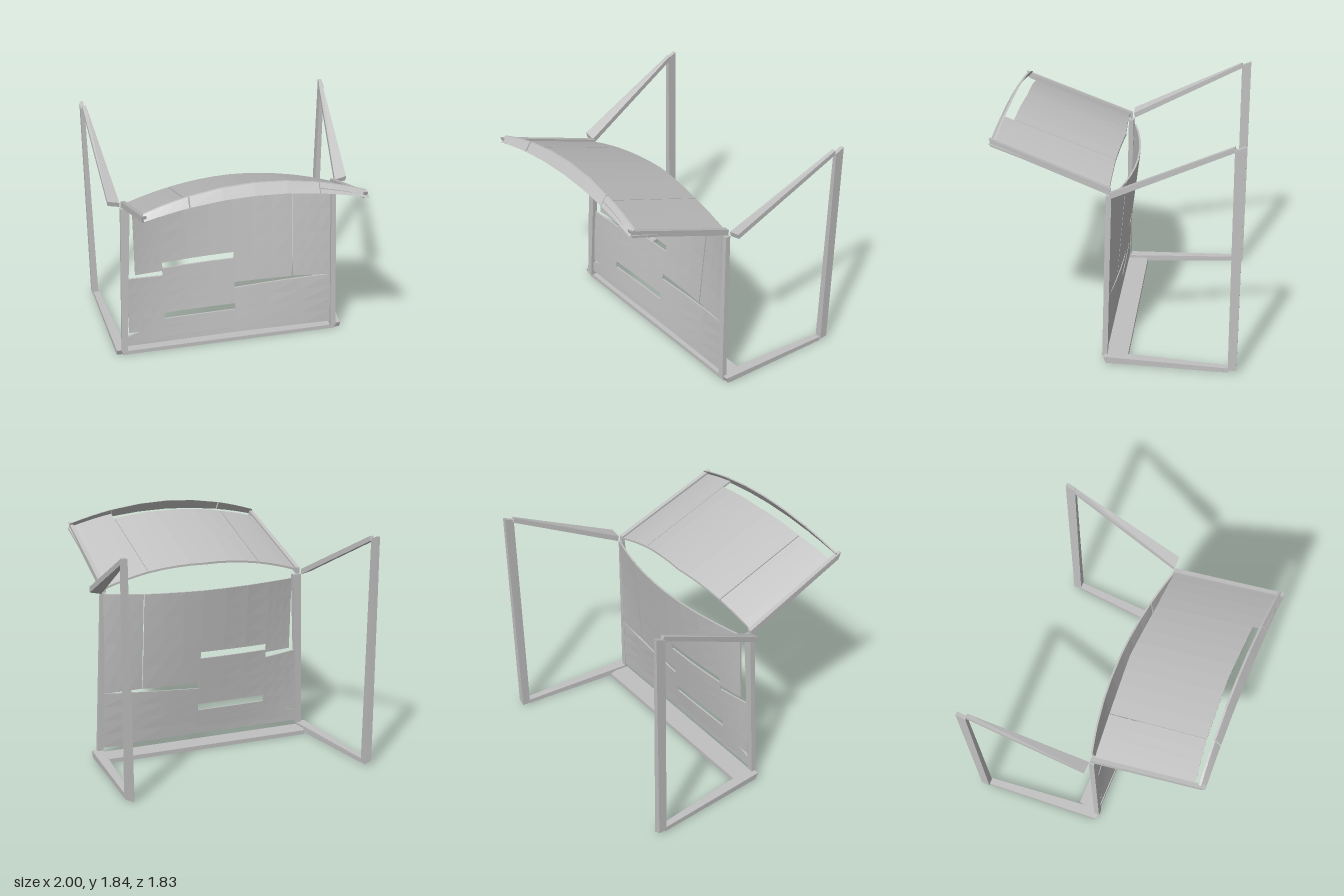
import * as THREE from 'three';

const grey = new THREE.MeshStandardMaterial({ color: 0xc0c0c0 });
grey.name = 'light grey';

const lerp = THREE.MathUtils.lerp;
const bow = (x, half) => Math.max(0, 1 - (x / half) ** 2);

// Bends a box by a rule and gives it flat facets
function bentBox(name, nx, ny, rule) {
  const box = new THREE.BoxGeometry(1, 1, 1, nx, ny, 1);
  const pos = box.attributes.position;
  for (let i = 0; i < pos.count; i++) {
    pos.setXYZ(i, ...rule(pos.getX(i) + 0.5, pos.getY(i) + 0.5, pos.getZ(i)));
  }
  const geo = box.toNonIndexed();
  geo.computeVertexNormals();
  const mesh = new THREE.Mesh(geo, grey);
  mesh.name = name;
  return mesh;
}

// Tapered bar between two ends, each given as centre c and edge vectors u, v
function bar(name, a, b) {
  const V = (p) => new THREE.Vector3(...p);
  const turn = V(a.u).cross(V(a.v)).dot(V(b.c).sub(V(a.c))) < 0 ? -1 : 1;
  return bentBox(name, 1, 1, (s, t, w) => {
    const e = w < 0 ? a : b;
    return V(e.c).addScaledVector(V(e.u), (s - 0.5) * turn)
      .addScaledVector(V(e.v), t - 0.5).toArray();
  });
}

// Upright panel: hollow at the top, flat at the bottom
const panelZ = (x, y) => 0.04 + (1.3 - y) * 0.025
  - 0.125 * bow(x, 0.84) * THREE.MathUtils.clamp((y - 0.1) / 1.2, 0, 1);

function uprightPanel([x0, x1, lowL, lowR, highL, highR]) {
  return bentBox('uprightPanel', 3, 4, (s, t, w) => {
    const x = lerp(x0, x1, s);
    const y = lerp(lerp(lowL, lowR, s), lerp(highL, highR, s), t);
    return [x, y, panelZ(x, y) + w * 0.014];
  });
}

// Canopy panel: arched across, rising towards the front
function canopyPanel([x0, x1, backL, backR, frontL, frontR]) {
  return bentBox('canopyPanel', 4, 1, (s, t, w) => {
    const x = lerp(x0, x1, s);
    const z = lerp(lerp(frontL, frontR, s), lerp(backL, backR, s), t);
    const y = 1.33 + 0.375 * z + 0.15 * bow(x, 0.82);
    return [x, y + w * 0.016, z];
  });
}

// Raised front lip of the canopy
function lip([x0, x1]) {
  return bentBox('canopyLip', 4, 1, (s, t, w) => {
    const x = lerp(x0, x1, s), k = bow(x, 0.82);
    const y = lerp(1.665 + 0.105 * k, 1.705 + 0.14 * k, t);
    const z = lerp(0.905 - 0.02 * k, 0.87 - 0.035 * k, t);
    return [x, y, z + w * 0.016];
  });
}

export function createModel() {
  const model = new THREE.Group();
  model.name = 'foldingFrame';

  // Upright panels, leaving the narrow slots between them
  const upright = new THREE.Group();
  upright.name = 'uprightPanels';
  [
    [0.05, 0.518, 0.525, 0.528, 1.295, 1.3],
    [0.528, 0.83, 0.53, 0.52, 1.3, 1.315],
    [0.05, 0.85, 0.085, 0.075, 0.475, 0.52],
    [-0.53, 0.05, 0.78, 0.785, 1.3, 1.295],
    [-0.53, 0.05, 0.34, 0.34, 0.73, 0.73],
    [-0.53, 0.05, 0.08, 0.085, 0.285, 0.285],
    [-0.75, -0.53, 0.715, 0.71, 1.3, 1.3],
    [-0.82, -0.53, 0.2, 0.2, 0.69, 0.665],
    [-0.84, -0.73, 0.08, 0.08, 0.165, 0.2],
    [-0.73, -0.53, 0.08, 0.08, 0.2, 0.2],
  ].forEach((p) => upright.add(uprightPanel(p)));
  model.add(upright);

  // Canopy panels and lip
  const canopy = new THREE.Group();
  canopy.name = 'canopy';
  [
    [-0.8, -0.475, 0.06, 0.04, 0.83, 0.79],
    [-0.468, 0, 0.04, 0.01, 0.79, 0.77],
    [0, 0.458, 0.01, 0.04, 0.77, 0.79],
    [0.462, 0.82, 0.04, 0.05, 0.88, 0.9],
  ].forEach((p) => canopy.add(canopyPanel(p)));
  [[-0.8, -0.48], [-0.47, 0.46], [0.465, 0.81]].forEach((p) => canopy.add(lip(p)));
  model.add(canopy);

  for (const s of [1, -1]) {
    const side = new THREE.Group();
    side.name = s > 0 ? 'leftSideFrame' : 'rightSideFrame';
    const w = s > 0 ? 0.035 : 0.07; // width of the front post at its top
    side.add(
      bar('canopyRail',
        { c: [s * 0.82, 1.35, 0.04], u: [0.035, 0, 0], v: [0, 0.05, 0] },
        { c: [s * 0.795, 1.685, 0.9], u: [0.03, 0, 0], v: [0, 0.055, 0.02] }),
      bar('frontPost',
        { c: [s * 0.865, 0.04, 0.08], u: [0.045, 0, 0], v: [0, 0, 0.04] },
        { c: [s * (0.845 - w / 2), 1.32, 0.05], u: [w, 0, 0], v: [0, 0, 0.04] }),
      bar('upperArm',
        { c: [s * 0.89, 1.35, 0.03], u: [0.09, s * 0.02, 0], v: [0, 0.04, 0.01] },
        { c: [s * 0.972, 1.765, -0.85], u: [0.03, 0, 0], v: [0, 0.035, 0.01] }),
      bar('rearPost',
        { c: [s * 0.97, 0.02, -0.875], u: [0.055, s * 0.025, 0], v: [0, 0, 0.065] },
        { c: [s * 0.985, 1.775, -0.88], u: [0.03, 0, 0], v: [0, -0.03, 0.075] }),
      bar('lowerArm',
        { c: [s * 0.885, 0.03, 0.08], u: [0.085, 0, 0], v: [0, 0.05, 0.02] },
        { c: [s * 0.96, 0.025, -0.85], u: [0.05, 0, 0], v: [0, 0.035, 0] }),
    );
    model.add(side);
  }

  // Flat strip along the floor
  model.add(bentBox('baseStrip', 1, 1, (s, t, w) => [
    (s - 0.5) * 2 * lerp(0.84, 0.88, w + 0.5), 0.002 + t * 0.033, lerp(-0.09, 0.08, w + 0.5),
  ]));

  return model;
}
